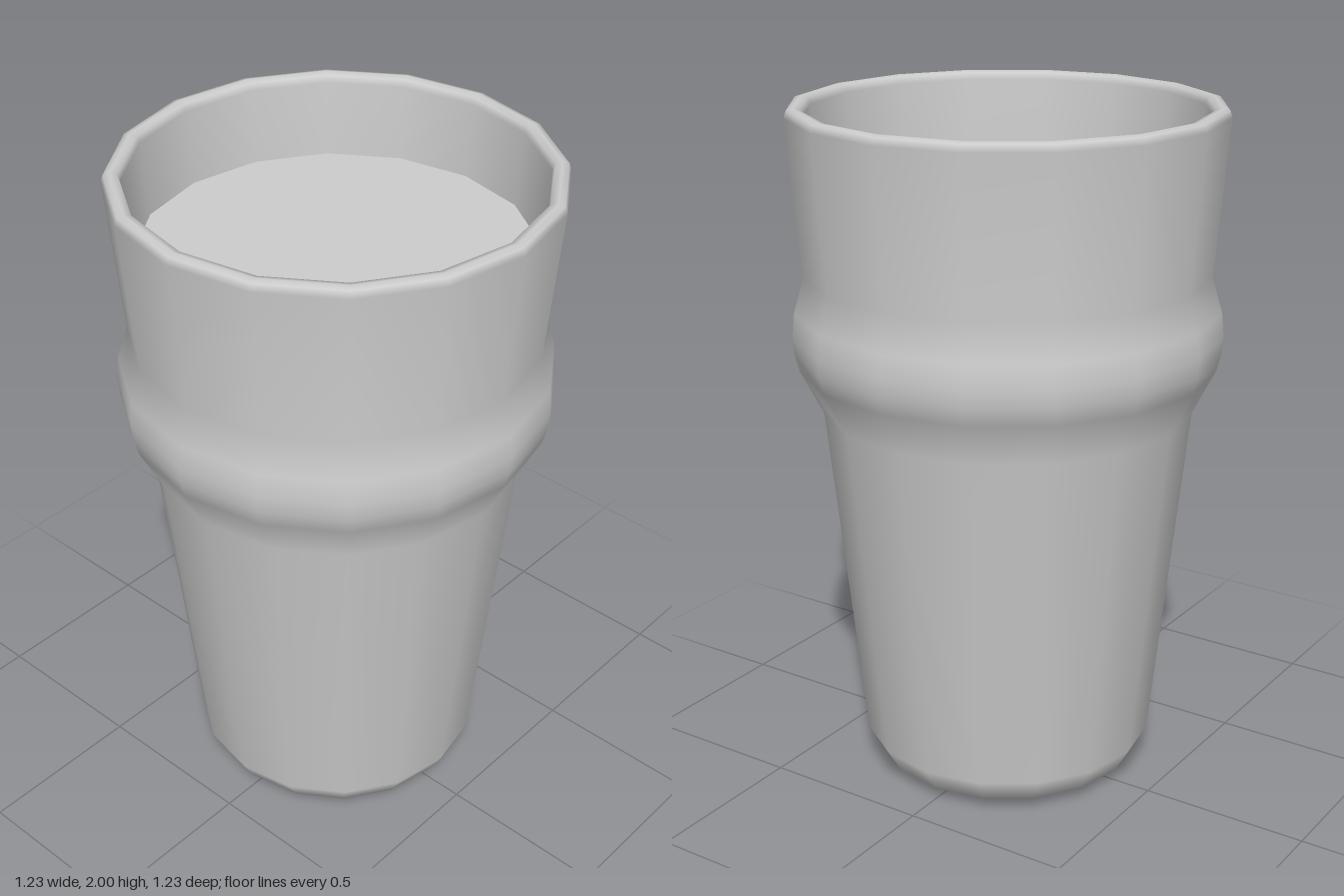
import * as THREE from 'three';

const SIDES = 16;
const lathe = (profile, material, name) => {
  const points = profile.map(([r, y]) => new THREE.Vector2(r, y));
  const mesh = new THREE.Mesh(new THREE.LatheGeometry(points, SIDES), material);
  mesh.name = name;
  return mesh;
};

export function createModel() {
  const glass = new THREE.MeshStandardMaterial({ color: 0xcccccc });
  glass.name = 'pale grey';
  const group = new THREE.Group();
  group.name = 'pintGlass';

  // Inner wall from the base up to the liquid level
  const inner = [
    [0, 0.07], [0.29, 0.07], [0.36, 0.09], [0.39, 0.14], [0.49, 1.15],
    [0.555, 1.27], [0.57, 1.36], [0.563, 1.43], [0.535, 1.54], [0.55, 1.76],
  ];

  // Closed shell: rounded foot, tapered body, bulge, flared lip, then back down inside
  group.add(lathe([
    [0, 0], [0.3, 0], [0.385, 0.035], [0.43, 0.11], [0.535, 1.13],
    [0.6, 1.26], [0.613, 1.31], [0.617, 1.36], [0.61, 1.43], [0.58, 1.53],
    [0.617, 1.975], [0.61, 1.995], [0.592, 2], [0.572, 1.995], [0.566, 1.975],
    ...inner.slice().reverse(),
  ], glass, 'glassShell'));

  // Liquid body, just inside the inner wall
  group.add(lathe(
    inner.map(([r, y]) => [Math.max(r - 0.004, 0), y === 1.76 ? y : y + 0.004]),
    glass, 'liquidBody'));

  // Flat liquid surface
  const surface = new THREE.Mesh(new THREE.CircleGeometry(0.548, SIDES), glass);
  surface.name = 'liquidSurface';
  surface.rotation.x = -Math.PI / 2;
  surface.position.y = 1.76;
  group.add(surface);

  return group;
}
